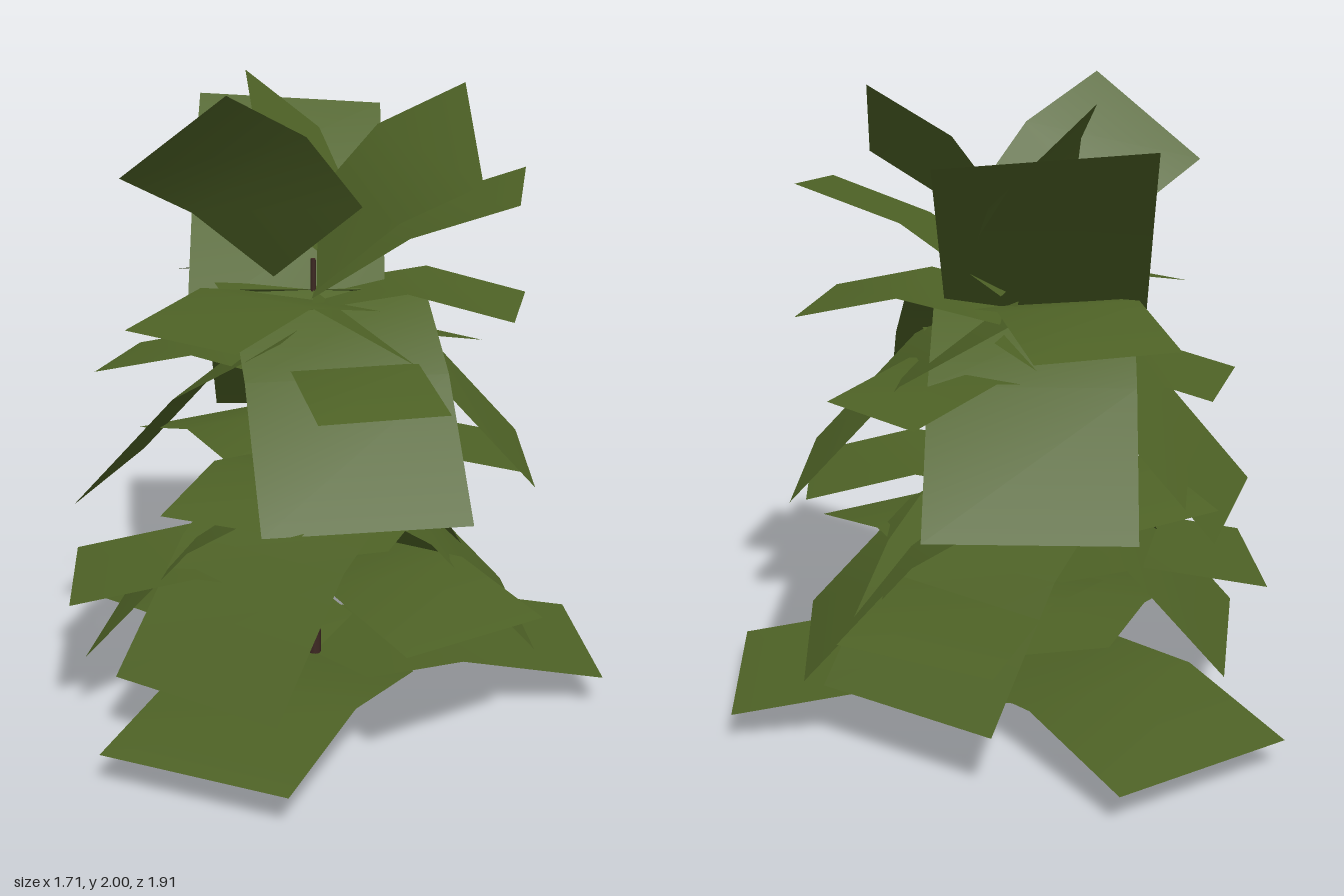
import * as THREE from 'three';

const TRUNK_X = -0.065, TRUNK_Z = -0.035;

const foliage = new THREE.MeshStandardMaterial({ color: 0x4e6226, side: THREE.DoubleSide });
foliage.name = 'needle green';
const bark = new THREE.MeshStandardMaterial({ color: 0x3d2822 });
bark.name = 'bark brown';

// Bent sheet through rows of [left, right] points, from the trunk outwards
function sheet(name, rows) {
  const index = [];
  for (let i = 0; i < rows.length - 1; i++) {
    const a = i * 2;
    index.push(a, a + 2, a + 1, a + 1, a + 2, a + 3);
  }
  const g = new THREE.BufferGeometry();
  g.setAttribute('position', new THREE.Float32BufferAttribute(rows.flat(2), 3));
  g.setIndex(index);
  g.computeVertexNormals();
  const mesh = new THREE.Mesh(g, foliage);
  mesh.name = name;
  return mesh;
}

// Straight bough: profile of [distance, height], turned by degrees from +x towards +z
function bough(name, degrees, width, profile) {
  const shift = -0.047;
  const mesh = sheet(name, profile.map(([r, y]) => [
    [r, y, shift + width / 2], [r, y, shift - width / 2],
  ]));
  mesh.rotation.y = -THREE.MathUtils.degToRad(degrees);
  return mesh;
}

const flat = (tip, r) => [[0, tip + 0.01], [r / 2, tip + 0.075], [r, tip]];
const steep = (tip) => [[0, tip + 0.57], [0.35, tip + 0.37], [0.69, tip]];

export function createModel() {
  const model = new THREE.Group();
  model.name = 'tree';

  // Trunk
  const trunk = new THREE.Mesh(new THREE.CylinderGeometry(0.008, 0.023, 1.45, 8), bark);
  trunk.name = 'trunk';
  trunk.position.set(TRUNK_X, 0.725, TRUNK_Z);
  model.add(trunk);

  const crown = new THREE.Group();
  crown.name = 'boughs';
  crown.position.set(TRUNK_X, 0, TRUNK_Z);
  model.add(crown);

  // Whorls of spreading and drooping boughs
  const whorls = [
    ['lowestSpreadingBough', [0, 120, 240], 0.625, flat(0.1, 0.92)],
    ['lowerDroopingBough', [0, 130, 192, 307], 0.625, steep(0.21)],
    ['lowerSpreadingBough', [60, 180, 300], 0.52, flat(0.43, 0.785)],
    ['middleSpreadingBough', [0, 120, 240], 0.46, flat(0.78, 0.67)],
    ['middleDroopingBough', [200], 0.625, steep(0.69)],
    ['upperDroopingBough', [5, 85, 275], 0.625, steep(0.78)],
    ['upperSpreadingBough', [80, 200, 320], 0.4, flat(1.1, 0.65)],
    ['topSpreadingBough', [15, 135, 255], 0.45, flat(1.31, 0.65)],
  ];
  for (const [name, angles, width, profile] of whorls) {
    for (const a of angles) crown.add(bough(name, a, width, profile));
  }

  // Three twisted boughs rising at the tip
  for (const a of [0, 120, 240]) {
    const tip = sheet('twistedTipBough', [
      [[0, 1.38, 0.14], [0.03, 1.63, -0.183]],
      [[0.235, 1.61, 0.3], [0.21, 1.86, -0.08]],
      [[0.465, 1.74, 0.415], [0.465, 2.0, 0.05]],
    ]);
    tip.rotation.y = -THREE.MathUtils.degToRad(a);
    crown.add(tip);
  }

  // Rising back bough and rising left bough
  crown.add(sheet('risingBackBough', [
    [[0.23, 1.29, -0.01], [-0.4, 1.25, -0.01]],
    [[0.26, 1.6, -0.345], [-0.37, 1.63, -0.345]],
    [[0.285, 1.86, -0.675], [-0.335, 1.9, -0.675]],
  ]));
  crown.add(sheet('risingLeftBough', [
    [[-0.02, 1.36, 0.18], [0.07, 1.4, -0.23]],
    [[0.27, 1.56, 0.28], [0.37, 1.61, -0.15]],
    [[0.585, 1.67, 0.365], [0.685, 1.72, -0.075]],
  ]));

  return model;
}
